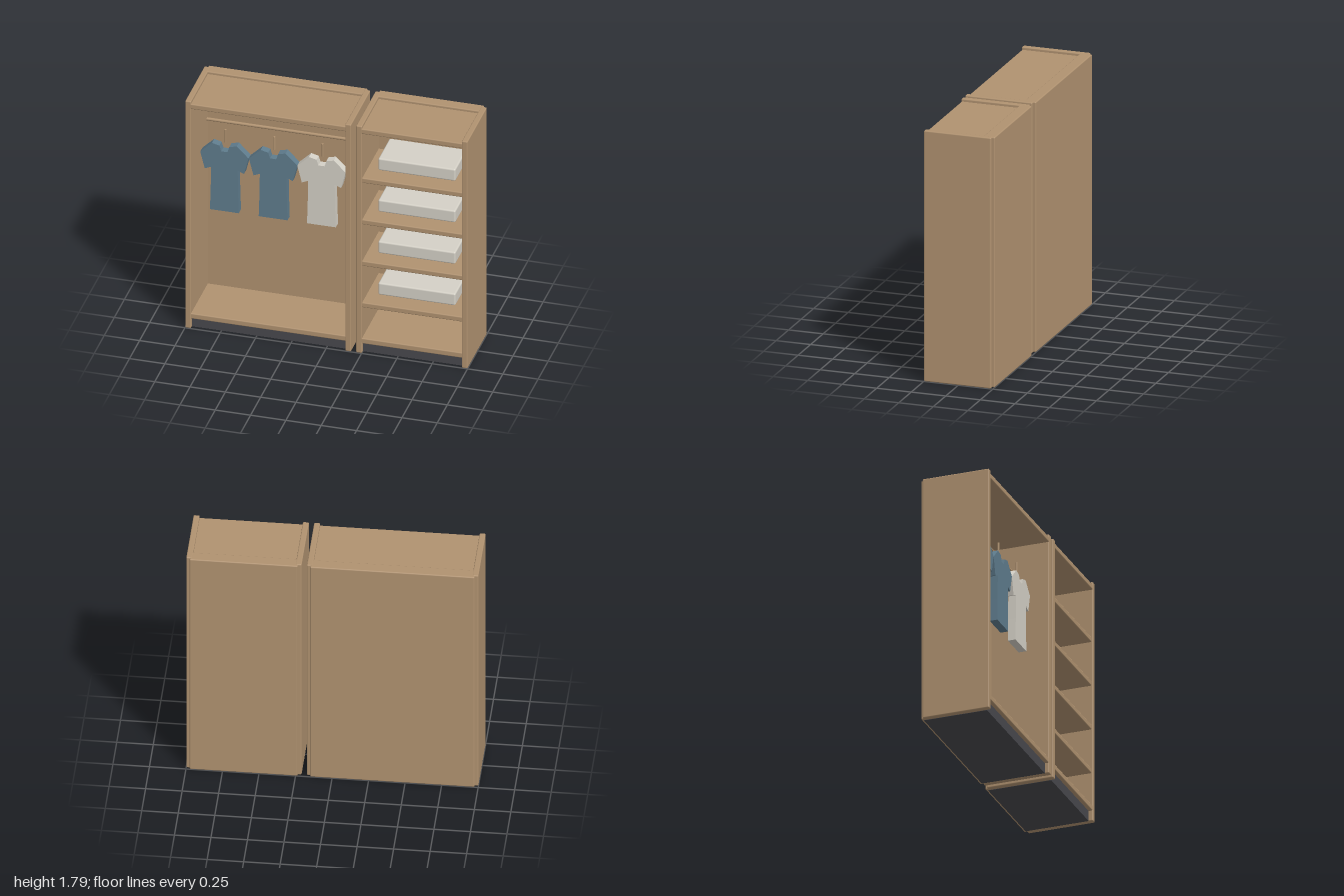
import * as THREE from 'three';
import { RoundedBoxGeometry } from 'three/addons/geometries/RoundedBoxGeometry.js';

const material = (name, color) => {
  const m = new THREE.MeshStandardMaterial({ color });
  m.name = name;
  return m;
};

export function createModel() {
  const wood = material('wood', 0xb09270);
  const plinthDark = material('plinth dark', 0x48484d);
  const blue = material('blue cloth', 0x5f7c8d);
  const linen = material('pale linen', 0xd4d0c6);

  const model = new THREE.Group();
  model.name = 'openWardrobe';

  const add = (parent, name, geometry, mat, x = 0, y = 0, z = 0) => {
    const mesh = new THREE.Mesh(geometry, mat);
    mesh.name = name;
    mesh.position.set(x, y, z);
    parent.add(mesh);
    return mesh;
  };

  // Softly rounded board given by its extents on each axis
  const board = (parent, name, mat, [x0, x1], [y0, y1], [z0, z1], radius = 0.008) =>
    add(parent, name, new RoundedBoxGeometry(x1 - x0, y1 - y0, z1 - z0, 2, radius), mat,
      (x0 + x1) / 2, (y0 + y1) / 2, (z0 + z1) / 2);

  // Carcass shared by both cabinets
  const T = 0.042, H = 1.795, FRONT = 0.25;
  const cabinet = (name, x0, x1) => {
    const g = new THREE.Group();
    g.name = name;
    model.add(g);
    const inner = [x0 + T, x1 - T];
    board(g, 'rightSidePanel', wood, [x0, x0 + T], [0, H], [-0.235, FRONT]);
    board(g, 'leftSidePanel', wood, [x1 - T, x1], [0, H], [-0.235, FRONT]);
    board(g, 'backPanel', wood, [x0 + 0.025, x1 - 0.025], [0.003, H - 0.001], [-0.255, -0.17]);
    const across = [inner[0] - 0.008, inner[1] + 0.008];
    board(g, 'topPanel', wood, across, [1.735, 1.775], [-0.18, FRONT - 0.001]);
    board(g, 'bottomPanel', wood, across, [0.076, 0.118], [-0.18, FRONT - 0.003]);
    add(g, 'plinth', new THREE.BoxGeometry(inner[1] - inner[0], 0.077, 0.46), plinthDark,
      (inner[0] + inner[1]) / 2, 0.0395, -0.01);
    return { g, across };
  };

  const hanging = cabinet('hangingCabinet', -1, 0.175);
  const shelving = cabinet('shelfCabinet', 0.21, 1);

  // Shelves, each carrying a folded stack
  for (let i = 0; i < 4; i++) {
    const top = 0.397 + i * 0.3283;
    board(shelving.g, 'shelf', wood, shelving.across, [top - 0.039, top], [-0.18, 0.24]);
    board(shelving.g, 'foldedLinen', linen, [0.33, 0.877], [top + 0.006, top + 0.1],
      [-0.165, 0.12], 0.012);
  }

  // Clothes rail
  const rail = add(hanging.g, 'clothesRail', new THREE.CylinderGeometry(0.011, 0.011, 1.005, 12),
    wood, -0.413, 1.525, 0);
  rail.rotation.z = Math.PI / 2;

  // Shirt outline: one half from neck to hem, mirrored for the other
  const half = [
    [0.022, 1.36], [0.035, 1.403], [0.088, 1.416], [0.171, 1.334],
    [0.139, 1.207], [0.094, 1.226], [0.097, 1.05], [0.102, 0.89],
  ];
  const outline = [...half, ...half.map(([x, y]) => [-x, y]).reverse()];
  const shirtShape = new THREE.Shape(outline.map(([x, y]) => new THREE.Vector2(x, y)));
  const shirtGeometry = new THREE.ExtrudeGeometry(shirtShape, { depth: 0.056, bevelEnabled: false });
  const hookGeometry = new THREE.CylinderGeometry(0.0075, 0.0075, 0.1, 10);

  [[-0.757, blue], [-0.412, blue], [-0.07, linen]].forEach(([x, cloth]) => {
    const g = new THREE.Group();
    g.name = 'hangingShirt';
    g.position.x = x;
    hanging.g.add(g);
    add(g, 'shirt', shirtGeometry, cloth, 0, 0, 0.068);
    add(g, 'hangerStem', hookGeometry, wood, 0, 1.467, 0.092);
  });

  return model;
}
